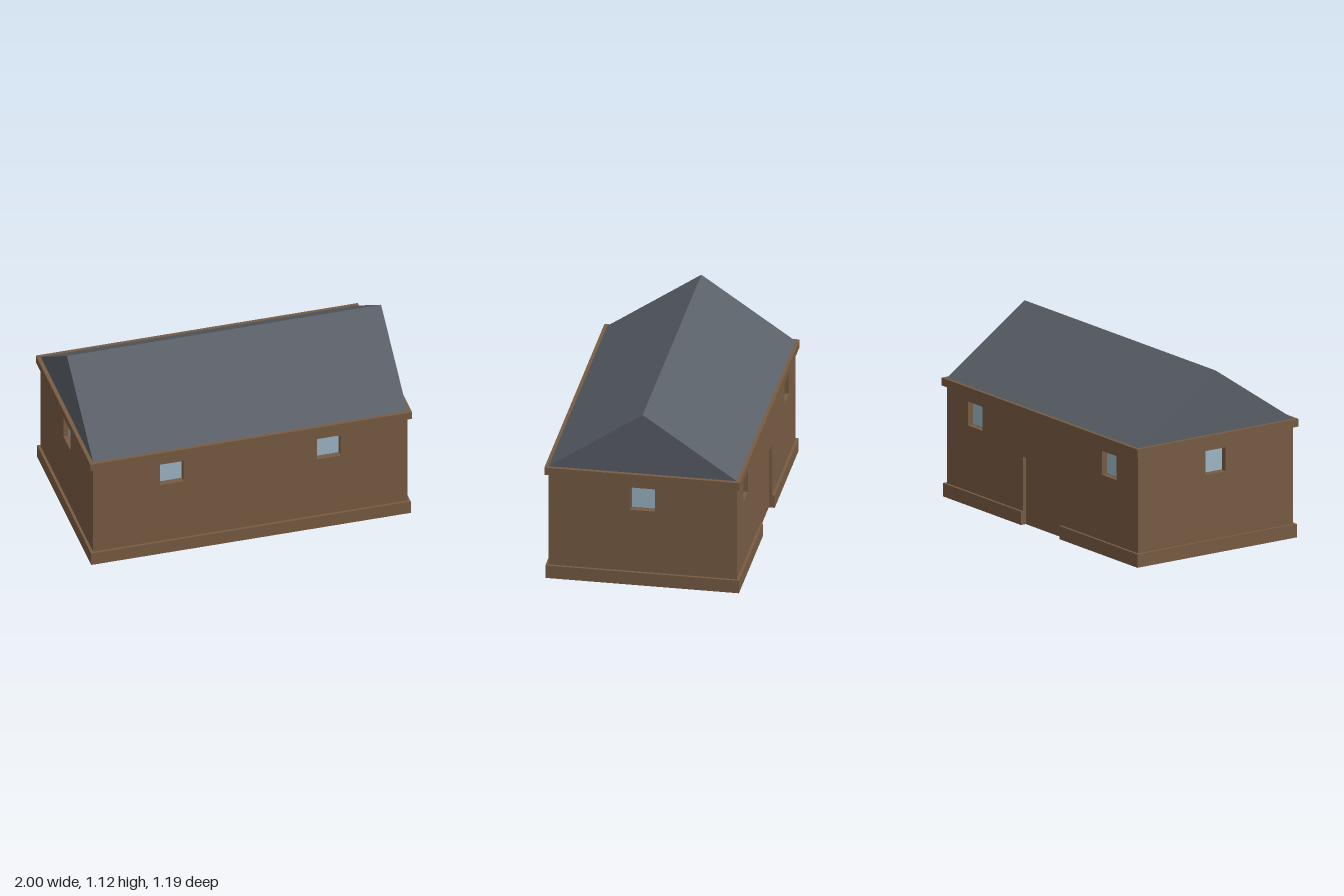
import * as THREE from 'three';

const X = 0.976, Z = 0.572;        // half length and half depth of the walls
const T = 0.036;                   // wall thickness = window recess
const EAVE = 0.735, RIDGE = 1.125;
const DOOR = 0.196, DOOR_TOP = 0.42;
const WIN = 0.074, WIN_Y = 0.563;  // half size and centre height of a window

const paint = (color) => new THREE.MeshStandardMaterial({ color, flatShading: true });

export function createModel() {
  const model = new THREE.Group();
  const brown = paint(0x785c43), slate = paint(0x5a6068), glass = paint(0x9db7c6);

  function add(name, geometry, material, parent = model) {
    const mesh = new THREE.Mesh(geometry, material);
    mesh.name = name;
    parent.add(mesh);
    return mesh;
  }
  const polygon = (pts) => new THREE.Shape(pts.map(([x, y]) => new THREE.Vector2(x, y)));
  const extrude = (shape, depth) => new THREE.ExtrudeGeometry(shape, { depth, bevelEnabled: false });

  // Wall facing +z in its own frame, with recessed windows and optional doorway
  function wall(name, half, distance, turn, windows, doorway = false) {
    const group = new THREE.Group();
    group.name = name;
    const bottom = 0.04, top = 0.7;
    const pts = [[-half, bottom]];
    if (doorway) pts.push([-DOOR, bottom], [-DOOR, DOOR_TOP], [DOOR, DOOR_TOP], [DOOR, bottom]);
    pts.push([half, bottom], [half, top], [-half, top]);
    const shape = polygon(pts);
    for (const x of windows) {
      shape.holes.push(new THREE.Path([[-1, -1], [-1, 1], [1, 1], [1, -1]].map(
        ([a, b]) => new THREE.Vector2(x + a * WIN, WIN_Y + b * WIN))));
      add('windowPane', new THREE.BoxGeometry(2 * WIN - 0.01, 2 * WIN - 0.01, 0.01), glass, group)
        .position.set(x, WIN_Y, distance - T);
    }
    add(name + 'Panel', extrude(shape, T), brown, group).position.z = distance - T;
    if (doorway) {
      add('door', new THREE.BoxGeometry(2 * DOOR, DOOR_TOP, 0.03), brown, group)
        .position.set(0, DOOR_TOP / 2, distance - 0.02 - 0.015);
    }
    group.rotation.y = turn;
    model.add(group);
  }
  wall('frontWall', X, Z, 0, [-0.488, 0.488]);
  wall('backWall', X, Z, Math.PI, [-0.684, 0.684], true);
  wall('rightWall', Z - T, X, Math.PI / 2, [0]);
  wall('leftWall', Z - T, X, -Math.PI / 2, [0]);

  // Solid core behind the window recesses
  add('core', new THREE.BoxGeometry(2 * (X - T), 0.66, 2 * (Z - T)), brown).position.y = 0.37;

  // Plinth with a gap for the door; plan drawn with +y towards the back
  const px = 0.993, pz = 0.588, gap = Z - 0.04;
  const plan = polygon([[-px, -pz], [px, -pz], [px, pz], [DOOR, pz], [DOOR, gap],
    [-DOOR, gap], [-DOOR, pz], [-px, pz]]);
  add('plinth', extrude(plan, 0.083), brown).rotation.x = -Math.PI / 2;

  // Eaves band
  add('eavesBand', new THREE.BoxGeometry(2, 0.048, 1.186), brown).position.y = EAVE - 0.024;

  // Gabled roof
  const gable = polygon([[-Z, EAVE], [Z, EAVE], [0, RIDGE]]);
  const roof = add('roof', extrude(gable, 2 * X), slate);
  roof.rotation.y = Math.PI / 2;
  roof.position.x = -X;

  return model;
}
